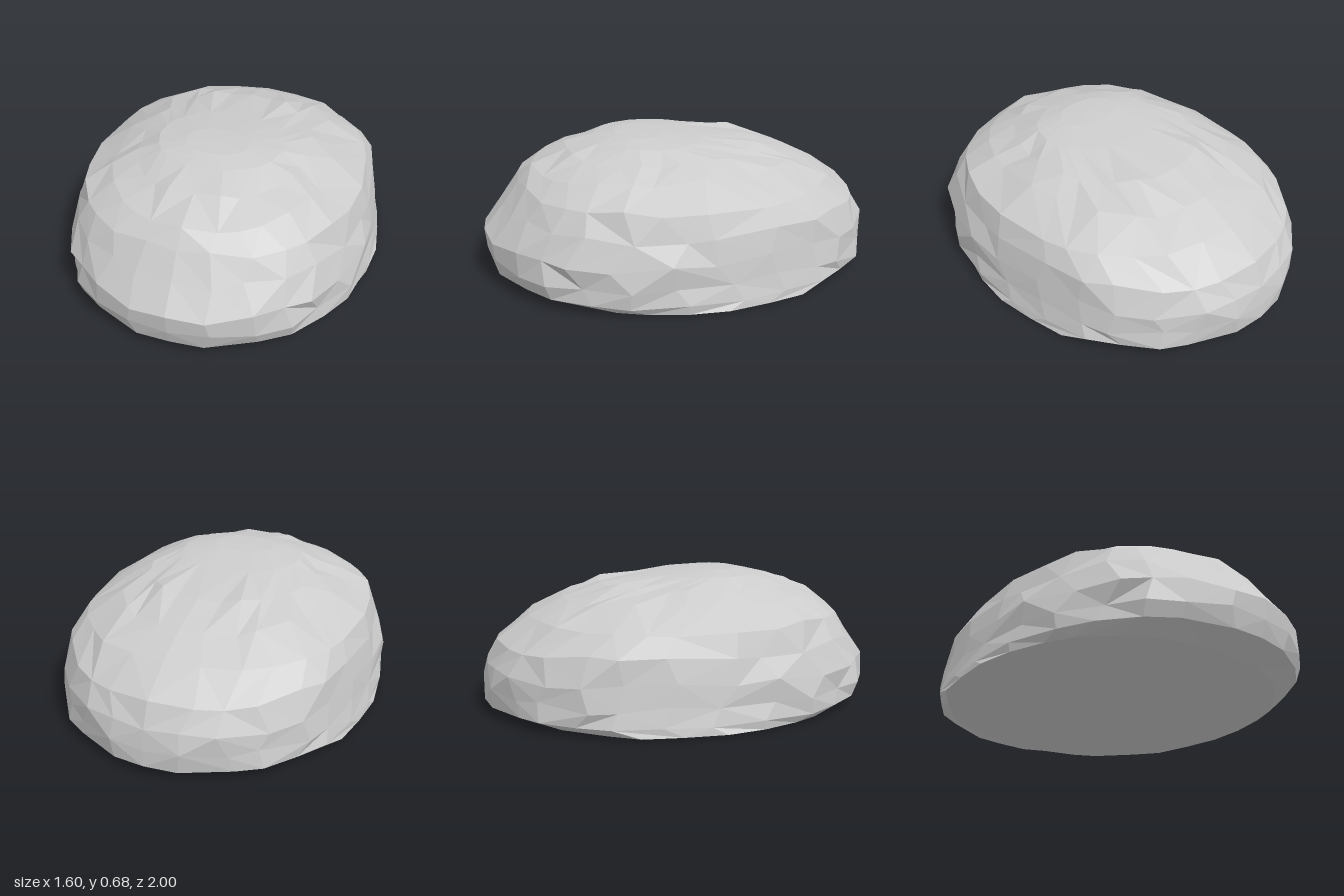
import * as THREE from 'three';

// Contours from the base up: height, front z, back z, half width
const CONTOURS = [
  [0.01, 0.8, -0.86, 0.795],
  [0.05, 0.965, -1.0, 0.79],
  [0.13, 0.99, -0.995, 0.78],
  [0.23, 1.0, -0.98, 0.765],
  [0.35, 0.9, -0.93, 0.735],
  [0.46, 0.82, -0.77, 0.69],
  [0.545, 0.75, -0.6, 0.54],
  [0.61, 0.57, -0.4, 0.42],
  [0.65, 0.42, -0.1, 0.31],
  [0.672, 0.32, 0.1, 0.16],
];
const SIDES = 28;

// Repeatable roughness in -1..1
const rough = (a, b) => {
  const s = Math.sin(a * 127.1 + b * 311.7) * 43758.5453;
  return (s - Math.floor(s)) * 2 - 1;
};
const bow = (v) => Math.sign(v) * Math.abs(v) ** (2 / 2.2);

// One corner of the rock; both sides mirror across x = 0
function corner(ring, j) {
  const [y, front, back, width] = CONTOURS[ring];
  const half = Math.min(j, SIDES - j);
  const side = j > SIDES / 2 ? -1 : 1;
  const onAxis = half === 0 || half === SIDES / 2;
  const angle = (half / SIDES) * Math.PI * 2 + (onAxis ? 0 : rough(half, ring) * 0.06);
  const dent = onAxis ? 1 : 1 + 0.02 * rough(half + 40, ring);
  const middle = (front + back) / 2;
  const lift = ring > 0 && ring < 8 && !onAxis ? 0.02 * rough(half, ring + 60) : 0;
  return [
    onAxis ? 0 : side * Math.min(0.8, width * bow(Math.sin(angle)) * dent),
    y + lift * Math.min(1, y * 6),
    middle + ((front - back) / 2) * bow(Math.cos(angle)) * dent,
  ];
}

function rockGeometry() {
  const points = [];
  const faces = [];
  const rings = CONTOURS.length;
  for (let r = 0; r < rings; r++)
    for (let j = 0; j < SIDES; j++) points.push(...corner(r, j));

  // Faceted flanks, with mirrored alternating diagonals
  for (let r = 0; r < rings - 1; r++) {
    for (let j = 0; j < SIDES; j++) {
      const k = (j + 1) % SIDES;
      const a = r * SIDES + j, b = r * SIDES + k;
      const c = b + SIDES, d = a + SIDES;
      const right = j < SIDES / 2;
      const flip = rough(right ? j : SIDES - 1 - j, r + 7) > 0;
      if (flip === right) faces.push(a, b, c, a, c, d);
      else faces.push(a, b, d, b, c, d);
    }
  }

  // Crown and flat underside
  const crown = points.length / 3;
  points.push(0, 0.675, 0.21, 0, 0, 0);
  const top = (rings - 1) * SIDES;
  for (let j = 0; j < SIDES; j++) {
    const k = (j + 1) % SIDES;
    faces.push(top + j, top + k, crown, k, j, crown + 1);
  }

  const geometry = new THREE.BufferGeometry();
  geometry.setAttribute('position', new THREE.Float32BufferAttribute(points, 3));
  geometry.setIndex(faces);
  const faceted = geometry.toNonIndexed();
  faceted.computeVertexNormals();
  return faceted;
}

export function createModel() {
  const group = new THREE.Group();
  group.name = 'boulder';
  const material = new THREE.MeshStandardMaterial({ color: 0xcccccc, flatShading: true });
  const rock = new THREE.Mesh(rockGeometry(), material);
  rock.name = 'rock';
  group.add(rock);
  return group;
}
